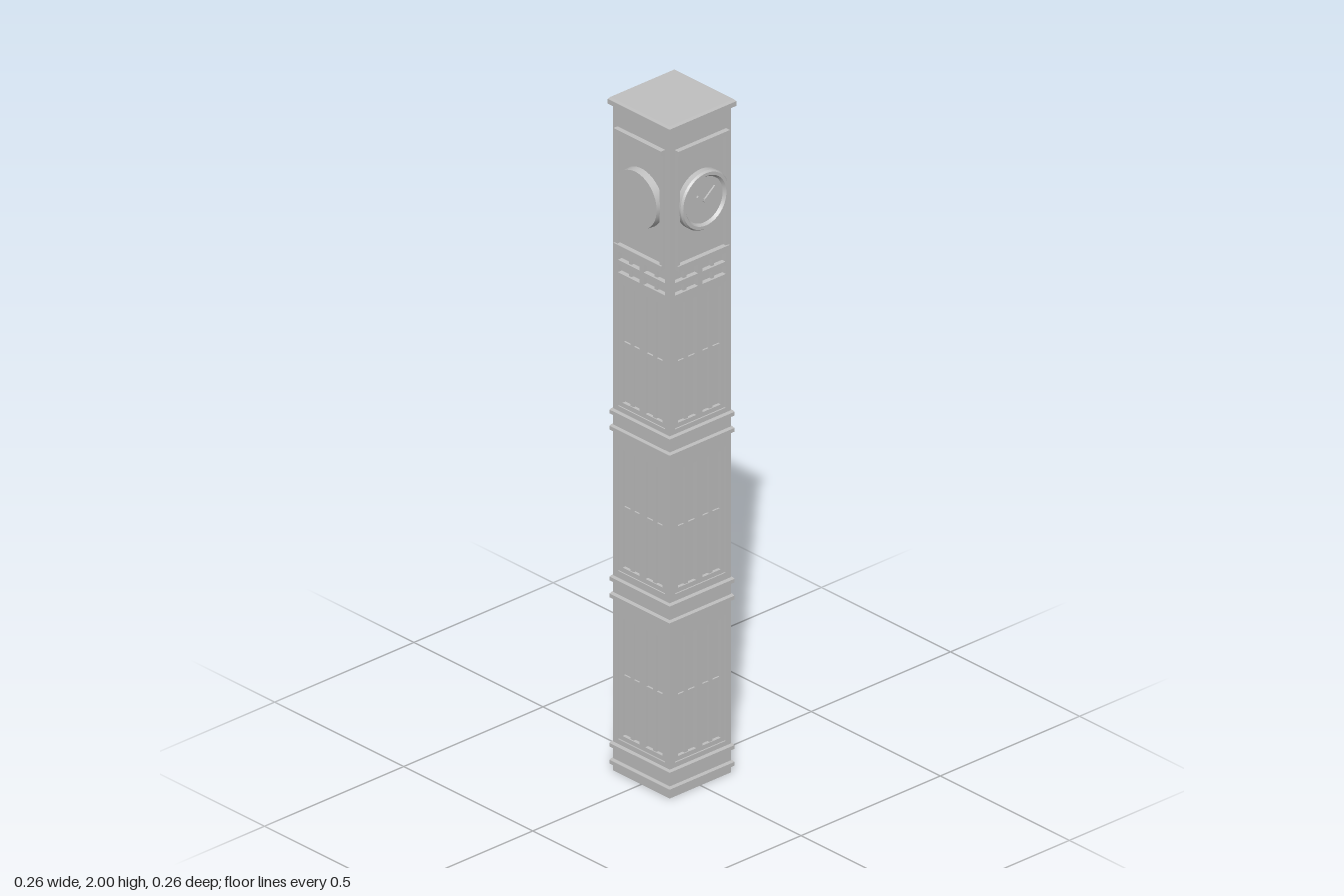
import * as THREE from 'three';

const HALF = 0.11;          // half width of the shaft
const CORE = 0.096;         // half width of the recessed inner core
const DIAL_Y = 1.745;

export function createModel() {
  const tower = new THREE.Group();
  tower.name = 'clockTower';
  const stone = new THREE.MeshStandardMaterial({ color: 0xc0c0c0 });
  stone.name = 'grey stone';

  const add = (parent, geometry, name, x = 0, y = 0, z = 0) => {
    const mesh = new THREE.Mesh(geometry, stone);
    mesh.name = name;
    mesh.position.set(x, y, z);
    parent.add(mesh);
    return mesh;
  };
  const box = (parent, name, w, h, d, x, y, z) =>
    add(parent, new THREE.BoxGeometry(w, h, d), name, x, y, z);

  // Rectangular plate with rectangular holes, each given as [x0, y0, x1, y1]
  const trace = (path, [x0, y0, x1, y1]) => {
    path.moveTo(x0, y0);
    path.lineTo(x1, y0);
    path.lineTo(x1, y1);
    path.lineTo(x0, y1);
    path.closePath();
    return path;
  };
  const plate = (outer, holes, depth) => {
    const shape = trace(new THREE.Shape(), outer);
    holes.forEach((hole) => shape.holes.push(trace(new THREE.Path(), hole)));
    return new THREE.ExtrudeGeometry(shape, { depth, bevelEnabled: false });
  };

  // Inner core, closed at both ends
  box(tower, 'core', CORE * 2, 1.98, CORE * 2, 0, 0.99, 0);

  // Openings in the walls
  const windows = [[0.1, 0.475], [0.6, 0.975], [1.09, 1.465]];
  const wallHoles = windows.map(([a, b]) => [-0.091, a, 0.091, b]);
  const grilleRows = [[1.487, 1.512], [1.524, 1.549]];
  for (const [a, b] of grilleRows) {
    wallHoles.push([-0.091, a, -0.008, b], [0.008, a, 0.091, b]);
  }
  const wall = plate([-HALF, 0, HALF, 1.985], wallHoles, HALF - CORE);

  // Raised rim around each clock panel
  const panelRim = plate([-0.092, 1.565, 0.092, 1.92], [[-0.082, 1.577, 0.082, 1.908]], 0.01);

  // Plain dial, and dial with a raised rim and a sunken face
  const lathe = (points) => new THREE.LatheGeometry(
    points.map(([r, h]) => new THREE.Vector2(r, h)), 48).rotateX(Math.PI / 2);
  const plainDial = new THREE.CylinderGeometry(0.083, 0.085, 0.022, 48).rotateX(Math.PI / 2);
  const rimmedDial = lathe([[0.086, 0], [0.086, 0.016], [0.086, 0.016], [0.082, 0.022],
    [0.082, 0.022], [0.073, 0.022], [0.073, 0.022], [0.067, 0.014], [0.067, 0.014], [0, 0.014]]);

  for (let i = 0; i < 4; i++) {
    const side = new THREE.Group();
    side.name = ['frontSide', 'leftSide', 'backSide', 'rightSide'][i];
    side.rotation.y = i * Math.PI / 2;
    tower.add(side);
    add(side, wall, 'wall', 0, 0, CORE);

    // Paired windows with glazing bars
    for (const [a, b] of windows) {
      const panes = [[-0.077, a + 0.013, -0.011, b - 0.011], [0.011, a + 0.013, 0.077, b - 0.011]];
      add(side, plate([-0.091, a, 0.091, b], panes, 0.01), 'windowFrame', 0, 0, CORE);
      for (const s of [-1, 1]) {
        box(side, 'windowMullion', 0.012, b - a - 0.024, 0.008, s * 0.044, (a + b) / 2, CORE + 0.003);
        box(side, 'windowCrossbar', 0.066, 0.01, 0.006, s * 0.044, (a + b) / 2, CORE + 0.002);
      }
    }

    // Small bars inside the grille openings
    for (const [a, b] of grilleRows) {
      for (const s of [-1, 1]) {
        box(side, 'grilleBar', 0.01, b - a, 0.008, s * 0.05, (a + b) / 2, CORE + 0.004);
      }
    }

    // Clock panel
    add(side, panelRim, 'clockPanelRim', 0, 0, HALF);
    box(side, 'clockPanelHead', 0.184, 0.014, 0.015, 0, 1.913, HALF + 0.0075);
    box(side, 'clockPanelSill', 0.184, 0.014, 0.015, 0, 1.572, HALF + 0.0075);
    if (i === 1) {
      add(side, rimmedDial, 'clockDial', 0, DIAL_Y, HALF);
      for (const [angle, length] of [[0.95, 0.036], [-0.9, 0.052]]) {
        const hand = new THREE.BoxGeometry(0.006, length, 0.005).translate(0, length / 2 - 0.004, 0);
        add(side, hand, 'clockHand', 0, DIAL_Y, HALF + 0.0165).rotation.z = angle;
      }
      add(side, new THREE.CylinderGeometry(0.006, 0.006, 0.008, 16).rotateX(Math.PI / 2),
        'handHub', 0, DIAL_Y, HALF + 0.017);
    } else {
      add(side, plainDial, 'clockDial', 0, DIAL_Y, HALF + 0.011);
    }
  }

  // Square slab whose upper and lower edges can slope
  const slab = (name, y0, y1, bottom, top) => {
    const geometry = new THREE.CylinderGeometry(top * Math.SQRT2, bottom * Math.SQRT2, y1 - y0, 4)
      .rotateY(Math.PI / 4).toNonIndexed();
    geometry.computeVertexNormals();
    add(tower, geometry, name, 0, (y0 + y1) / 2, 0);
  };

  // String courses in pairs at the foot and between the storeys
  for (const y of [0.028, 0.078, 0.522, 0.572, 1.02, 1.068]) {
    slab('stringCourseLower', y - 0.008, y + 0.003, 0.1165, 0.1165);
    slab('stringCourseUpper', y + 0.003, y + 0.008, 0.1165, 0.113);
  }

  // Roof cap with bevelled edges
  slab('capUnderside', 1.974, 1.98, 0.111, 0.119);
  slab('capEdge', 1.98, 1.994, 0.12, 0.12);
  slab('capTop', 1.994, 2, 0.12, 0.115);

  return tower;
}
